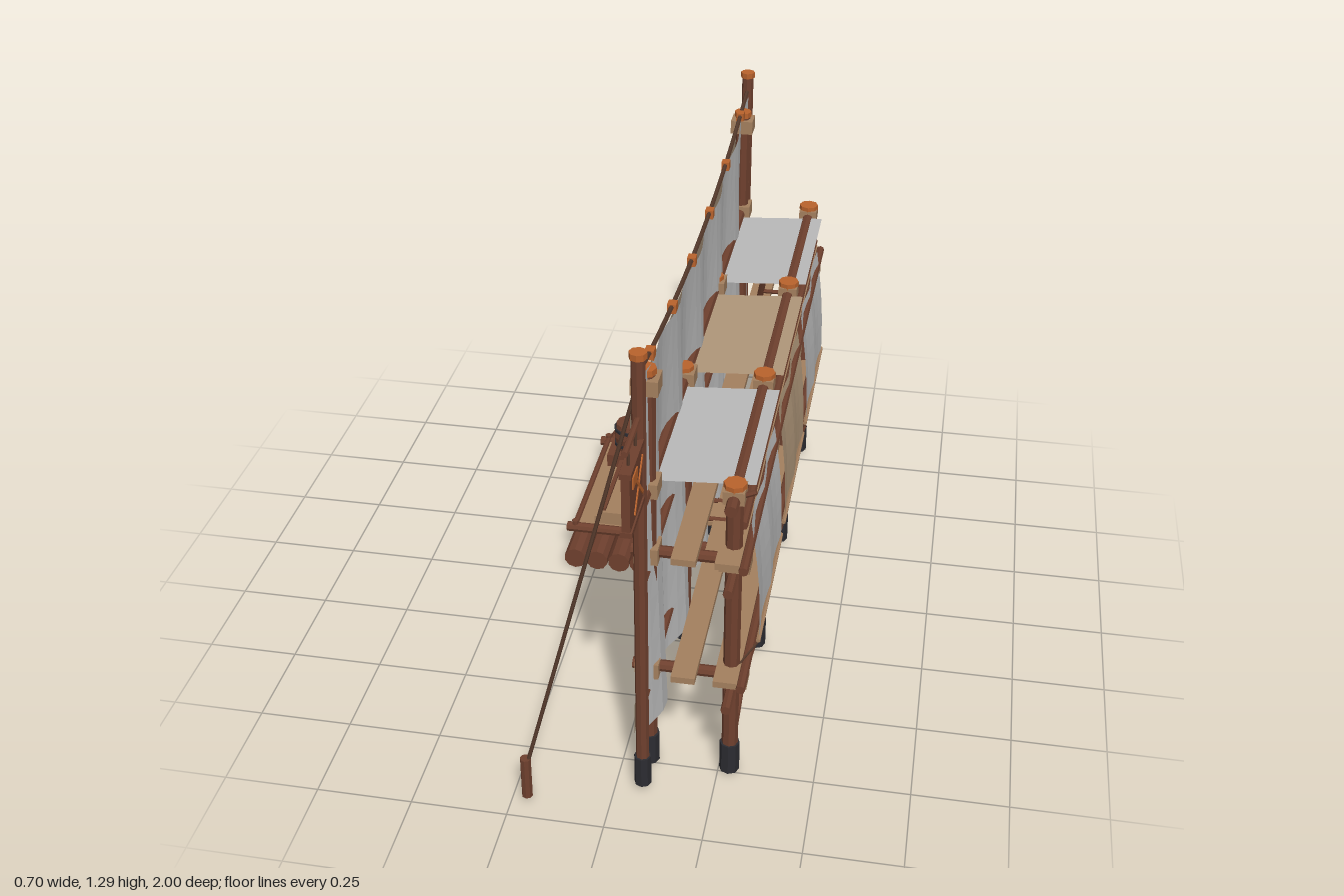
import * as THREE from 'three';

const mat = (name, color, extra = {}) => {
  const m = new THREE.MeshStandardMaterial({ color, flatShading: true, ...extra });
  m.name = name;
  return m;
};
const V = (x, y, z) => new THREE.Vector3(x, y, z);

export function createModel() {
  const root = new THREE.Group();
  const two = { side: THREE.DoubleSide };
  const wood = mat('redBrownWood', 0x6e402e);
  const plank = mat('plankWood', 0xa37f5e);
  const cutWood = mat('orangeCutWood', 0xb8622c);
  const tar = mat('blackTar', 0x2c2c31);
  const rope = mat('rope', 0x54392b);
  const canvas = mat('greyCanvas', 0xb9b9b9, two);
  const tan = mat('tanCanvas', 0xb0977a, two);
  const weathered = mat('weatheredBoard', 0x9c8870, two);

  const add = (name, geo, material, parent = root) => {
    const m = new THREE.Mesh(geo, material);
    m.name = name;
    parent.add(m);
    return m;
  };
  const box = (name, w, h, d, x, y, z, material) => {
    const m = add(name, new THREE.BoxGeometry(w, h, d), material);
    m.position.set(x, y, z);
    return m;
  };
  const rod = (name, a, b, r, material = wood, sides = 8) => {
    const dir = b.clone().sub(a);
    const m = add(name, new THREE.CylinderGeometry(r, r, dir.length(), sides), material);
    m.position.copy(a).add(b).multiplyScalar(0.5);
    m.quaternion.setFromUnitVectors(V(0, 1, 0), dir.normalize());
    return m;
  };
  // Flat or curved cloth patch from a rule (u, v) -> point
  const cloth = (name, nu, nv, rule, material) => {
    const g = new THREE.PlaneGeometry(1, 1, nu, nv);
    const p = g.attributes.position;
    for (let i = 0; i < p.count; i++) {
      const q = rule(p.getX(i) + 0.5, 0.5 - p.getY(i));
      p.setXYZ(i, q.x, q.y, q.z);
    }
    g.computeVertexNormals();
    return add(name, g, material);
  };

  const XB = 0.07, XF = 0.28;
  const bays = [0.75, 0.237, -0.277, -0.79];
  const lerp = THREE.MathUtils.lerp;

  // Posts with tarred feet and cut tops
  const post = (name, x, z, top, r, capR) => {
    rod(name, V(x, 0.02, z), V(x, top, z), r);
    rod(name + 'Foot', V(x, 0.02, z), V(x, 0.11, z), r + 0.005, tar);
    rod(name + 'Cap', V(x, top - 0.014, z), V(x, top + 0.002, z), capR, cutWood);
  };
  bays.forEach((z, i) => {
    const end = i === 0 || i === 3;
    post('backPost', XB, z, end ? 1.2 : 0.91, 0.022, 0.025);
    post('frontPost', XF, z, 0.91, 0.021, 0.028);
    for (const y of [0.335, 0.69]) {
      rod('crossBeam', V(0.03, y, z), V(0.32, y, z), 0.015);
      box('backCollar', 0.06, 0.045, 0.06, XB, y, z, plank);
      box('frontCollar', 0.075, 0.04, 0.06, XF + 0.005, y, z, plank);
    }
    box('headCollar', 0.06, 0.04, 0.06, XB, 0.88, z, plank);
    box('frontHeadCollar', 0.052, 0.035, 0.055, XF, 0.882, z, plank);
    if (end) box('upperCollar', 0.065, 0.04, 0.06, XB, 1.16, z, plank);
  });
  post('mast', XB, 0.84, 1.29, 0.017, 0.021);
  post('mast', XB, -0.88, 1.29, 0.017, 0.021);

  // Long rails and walkway planks
  for (const x of [XB, XF]) {
    for (const y of [0.29, 0.65]) rod('ledgerRail', V(x, y, 0.84), V(x, y, -0.87), 0.013);
    rod('headRail', V(x, 0.875, 0.82), V(x, 0.875, -0.83), 0.016);
  }
  rod('curtainRail', V(XF + 0.02, 0.79, 0.75), V(XF + 0.02, 0.79, -0.79), 0.012);
  for (const y of [0.362, 0.722]) {
    for (const x of [0.17, 0.275]) box('walkwayPlank', 0.06, 0.018, 1.71, x, y, -0.025, plank);
    rod('walkwayEdge', V(0.315, y, 0.84), V(0.315, y, -0.87), 0.012);
  }

  // Crossed braces, curtains and roof cloths in each bay
  for (let i = 0; i < 3; i++) {
    const a = bays[i], b = bays[i + 1];
    rod('brace', V(0.295, 0.285, a), V(0.295, 0.11, b), 0.01);
    rod('brace', V(0.285, 0.11, a), V(0.285, 0.285, b), 0.01);
    const c = i === 1 ? tan : canvas;
    const z0 = a - 0.035, z1 = b + 0.04;
    cloth('curtain', 8, 6, (u, v) => V(
      0.312 + 0.028 * v + 0.008 * Math.sin(v * Math.PI) + 0.004 * Math.cos(u * 12),
      lerp(0.775 - 0.02 * Math.sin(u * Math.PI), 0.415, v), lerp(z0, z1, u)), c);
    cloth('roofCloth', 6, 3, (u, v) => V(lerp(0.075, 0.325, v),
      0.87 + 0.016 * v, lerp(z0, z1, u)), c);
    rod('curtainRod', V(0.342, 0.428, z0 + 0.01), V(0.342, 0.428, z1 - 0.01), 0.006, plank, 6);
    rod('curtainTie', V(0.342, 0.42, z0), V(0.3, 0.37, a), 0.003, rope, 5);
    rod('curtainTie', V(0.342, 0.42, z1), V(0.3, 0.37, b), 0.003, rope, 5);
  }
  rod('peg', V(0.285, 0.87, 0.75), V(0.33, 0.89, 0.75), 0.007, wood, 6);

  // Great backcloth, rippled around the back posts
  const topY = z => 1.145 + 0.075 * ((z + 0.02) / 0.86) ** 2;
  const wave = (z, y) => XB + 0.004 + (0.006 + 0.02 * (1.2 - y)) * Math.sin(z * 19 + 0.6)
    + 0.012 * (1 - Math.min(1, y));
  cloth('backcloth', 40, 8, (u, v) => {
    const z = lerp(0.83, -0.87, u), y = lerp(topY(z), 0.18, v);
    return V(wave(z, y), y, z);
  }, canvas);
  const band = (name, hi, lo) => cloth(name, 40, 1, (u, v) => {
    const z = lerp(0.84, -0.88, u), y = lerp(hi(z), lo(z), v);
    return V(Math.min(wave(z, y) - 0.008, XB - 0.02), y, z);
  }, weathered);
  band('upperBand', z => topY(z) - 0.06, z => topY(z) - 0.14);
  band('lowerBand', () => 0.27, () => 0.18);

  // Torn scraps under the upper band
  for (let k = 0; k < 7; k++) {
    const s = new THREE.Shape([[-0.045, 0], [0.045, 0], [0.01, -0.06 - 0.02 * (k % 3)]]
      .map(p => new THREE.Vector2(...p)));
    const m = add('tornScrap', new THREE.ShapeGeometry(s), canvas);
    const z = -0.33 + k * 0.1;
    m.rotation.y = -Math.PI / 2;
    m.position.set(XB - 0.026, topY(z) - 0.13, z);
  }

  // Crossed repair boards and short end boards
  for (const s of [-1, 1]) {
    const m = box('crossedBoard', 0.012, 0.52, 0.045, 0.036 + s * 0.006, 0.665, 0, weathered);
    m.rotation.x = s * 0.8;
    box('shortBoard', 0.014, 0.13, 0.06, 0.034, 0.81, s * 0.2, weathered);
  }

  // Sagging head rope with lashings
  const ropePts = [];
  for (let i = 0; i <= 12; i++) {
    const z = lerp(0.84, -0.88, i / 12);
    ropePts.push(V(XB, topY(z) + 0.016, z));
  }
  add('headRope', new THREE.TubeGeometry(new THREE.CatmullRomCurve3(ropePts), 36, 0.006, 6), rope);
  for (let i = 0; i < 6; i++) {
    const z = 0.7 - i * 0.287;
    box('lashing', 0.022, 0.024, 0.028, XB, topY(z) + 0.012, z, cutWood);
  }

  // Guy ropes and stakes
  for (const [mz, sz] of [[0.84, 0.94], [-0.88, -0.985]]) {
    rod('guyRope', V(0.06, 1.18, mz), V(-0.205, 0.13, sz), 0.005, rope, 6);
    rod('stake', V(-0.21, 0.02, sz), V(-0.21, 0.145, sz), 0.014);
  }

  // Hanging sign with painted crossed strokes
  rod('signArm', V(XB, 1.125, 0.82), V(XB, 1.125, 1), 0.008);
  for (const z of [0.88, 0.96]) rod('signHanger', V(XB, 1.125, z), V(XB, 1.07, z), 0.004, rope, 5);
  box('signBoard', 0.02, 0.17, 0.155, XB, 0.988, 0.92, wood);
  for (const y of [0.91, 1.066]) box('signTrim', 0.028, 0.014, 0.16, XB, y, 0.92, wood);
  for (const s of [-1, 1]) {
    const m = box('signStroke', 0.026, 0.14, 0.009, XB, 0.985, 0.905, cutWood);
    m.rotation.x = s * 0.75;
  }
  box('signPatch', 0.026, 0.03, 0.05, XB, 1.03, 0.945, cutWood);

  // Ladder between the walkways
  const foot = V(0.14, 0.37, -0.65), head = V(0.225, 0.84, -0.42);
  for (const s of [-1, 1]) {
    const o = V(s * 0.033, 0, 0);
    rod('ladderRail', foot.clone().add(o), head.clone().add(o), 0.009);
  }
  for (let i = 0; i < 6; i++) {
    const c = foot.clone().lerp(head, 0.1 + i * 0.155);
    rod('ladderRung', c.clone().setX(c.x - 0.033), c.clone().setX(c.x + 0.033), 0.006, wood, 6);
  }

  // Small landing behind the backcloth
  box('landing', 0.3, 0.012, 0.11, 0.04, 0.36, 0.105, plank);
  for (const z of [0.06, 0.15]) rod('landingEdge', V(-0.11, 0.37, z), V(0.18, 0.37, z), 0.007);

  // Raft: logs, cross beams, deck
  for (let i = 0; i < 5; i++) {
    const x = -0.31 + i * 0.067;
    rod('raftLog', V(x, 0.036, -0.73), V(x, 0.036, -0.04), 0.033, wood, 10);
  }
  box('raftDeck', 0.3, 0.016, 0.5, -0.18, 0.077, -0.385, plank);
  for (const z of [-0.63, -0.14]) {
    rod('raftBeam', V(-0.355, 0.08, z), V(0, 0.08, z), 0.015);
    for (const x of [-0.33, -0.015]) rod('raftPeg', V(x, 0.07, z), V(x, 0.105, z), 0.01);
  }
  for (const x of [-0.33, -0.025]) rod('raftSideRail', V(x, 0.09, -0.63), V(x, 0.09, -0.14), 0.009);

  // Raft cargo: stacked boards, crate, barrel and pot
  box('boardStack', 0.2, 0.025, 0.27, -0.175, 0.1, -0.295, plank);
  box('boardStack', 0.16, 0.018, 0.28, -0.17, 0.128, -0.29, plank);
  for (const x of [-0.245, -0.105]) box('stackStrip', 0.012, 0.01, 0.27, x, 0.14, -0.295, wood);
  box('crate', 0.125, 0.045, 0.125, -0.24, 0.105, -0.54, wood);
  const prof = [[0, 0], [0.042, 0], [0.05, 0.045], [0.042, 0.092], [0, 0.092]]
    .map(p => new THREE.Vector2(...p));
  add('barrel', new THREE.LatheGeometry(prof, 12), wood).position.set(-0.24, 0.128, -0.54);
  for (const y of [0.148, 0.2]) rod('barrelHoop', V(-0.24, y - 0.005, -0.54), V(-0.24, y + 0.005, -0.54), 0.05, tar, 12);
  rod('pot', V(-0.11, 0.085, -0.57), V(-0.11, 0.145, -0.57), 0.038, wood, 10);
  rod('potHandle', V(-0.19, 0.125, -0.545), V(-0.11, 0.125, -0.545), 0.008);

  // Mooring lines to the frame
  for (const z of [-0.62, -0.15]) rod('mooringLine', V(-0.01, 0.098, z), V(0.16, 0.16, z), 0.004, rope, 6);
  return root;
}
